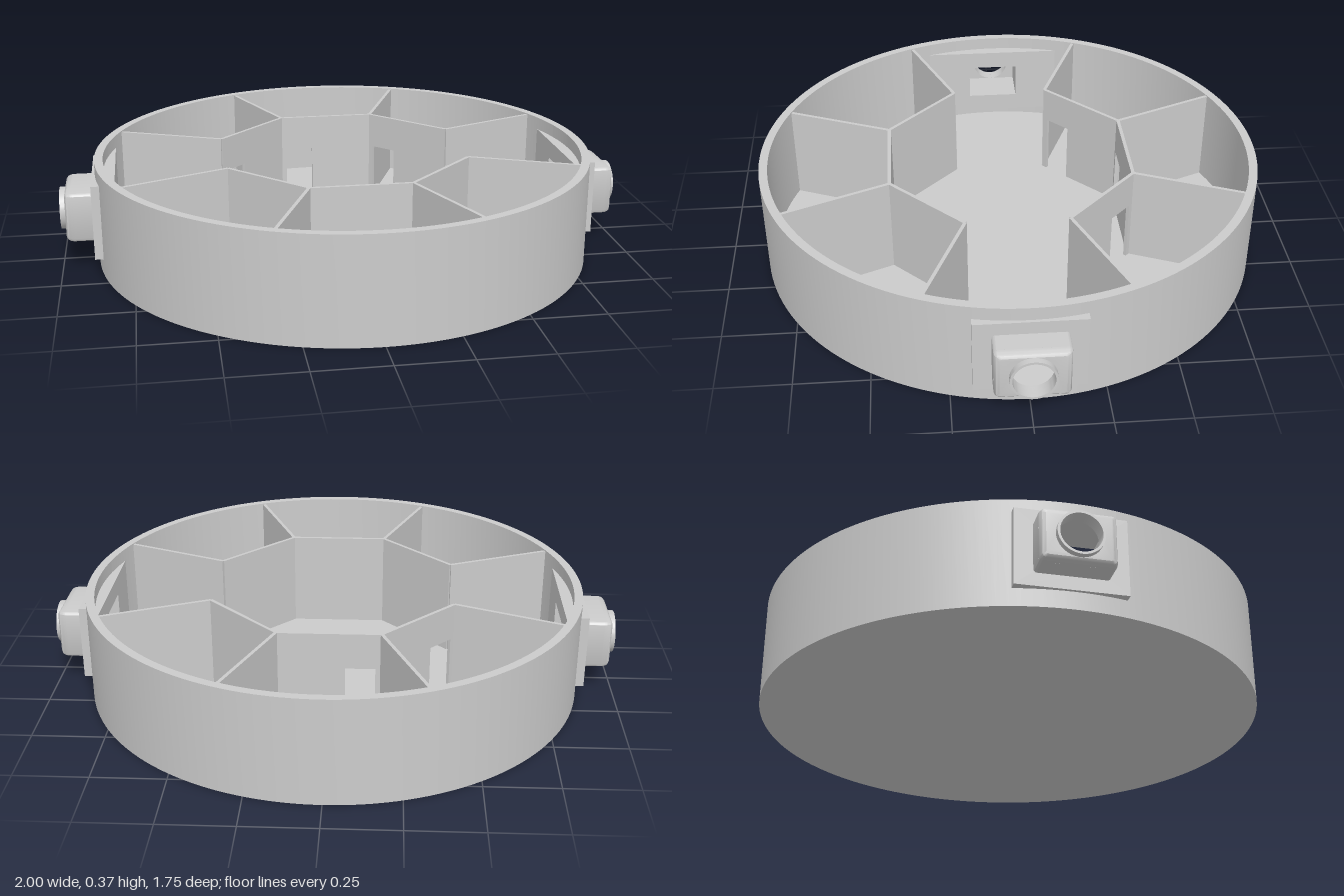
import * as THREE from 'three';
import { toCreasedNormals } from 'three/addons/utils/BufferGeometryUtils.js';

const R = 0.875, R_IN = 0.845, H = 0.37, FLOOR = 0.02;
const PORT_Y = 0.192, HOLE = 0.066;
const material = new THREE.MeshStandardMaterial({ color: 0xcccccc, side: THREE.DoubleSide });

function addMesh(parent, name, geometry) {
  const mesh = new THREE.Mesh(toCreasedNormals(geometry, 0.5), material);
  mesh.name = name;
  parent.add(mesh);
  return mesh;
}

function extrude(shape, depth, steps = 1) {
  return new THREE.ExtrudeGeometry(shape, { depth, steps, bevelEnabled: false, curveSegments: 24 });
}

// Plan outline (x, -z) raised between two heights
function raise(shape, y0, y1) {
  return extrude(shape, y1 - y0).rotateX(-Math.PI / 2).translate(0, y0, 0);
}

// Outline (z, y) around the port axis, extruded along x
function alongX(shape, x0, x1) {
  return extrude(shape, x1 - x0).rotateY(Math.PI / 2).translate(x0, PORT_Y, 0);
}

function ringSector(a0, a1) {
  const shape = new THREE.Shape();
  const n = Math.max(6, Math.ceil((a1 - a0) * 24));
  const pts = [];
  for (let i = 0; i <= n; i++) {
    const a = a0 + (a1 - a0) * i / n;
    pts.push(new THREE.Vector2(R * Math.cos(a), R * Math.sin(a)));
  }
  for (let i = n; i >= 0; i--) {
    const a = a0 + (a1 - a0) * i / n;
    pts.push(new THREE.Vector2(R_IN * Math.cos(a), R_IN * Math.sin(a)));
  }
  return shape.setFromPoints(pts);
}

function rect(hw, hh, r = 0, Type = THREE.Shape) {
  const s = new Type();
  s.moveTo(-hw + r, -hh).lineTo(hw - r, -hh);
  if (r) s.absarc(hw - r, -hh + r, r, -Math.PI / 2, 0);
  s.lineTo(hw, hh - r);
  if (r) s.absarc(hw - r, hh - r, r, 0, Math.PI / 2);
  s.lineTo(-hw + r, hh);
  if (r) s.absarc(-hw + r, hh - r, r, Math.PI / 2, Math.PI);
  s.lineTo(-hw, -hh + r);
  if (r) s.absarc(-hw + r, -hh + r, r, Math.PI, Math.PI * 1.5);
  return s;
}

function withHole(shape, hole) {
  shape.holes.push(hole);
  return shape;
}

const circle = (r, Type = THREE.Path) => new Type().absarc(0, 0, r, 0, Math.PI * 2);

// Upright divider from a to b in plan, optionally with a doorway near a
function addDivider(parent, name, a, b, doorway) {
  const length = a.distanceTo(b), t = 0.012, top = H - 0.004;
  const s = new THREE.Shape().moveTo(0, FLOOR - 0.005);
  if (doorway) s.lineTo(0.02, FLOOR - 0.005).lineTo(0.02, 0.24).lineTo(0.12, 0.24).lineTo(0.12, FLOOR - 0.005);
  s.lineTo(length, FLOOR - 0.005).lineTo(length, top).lineTo(0, top);
  const mesh = addMesh(parent, name, extrude(s, t).translate(0, 0, -t / 2));
  mesh.position.set(a.x, 0, a.y);
  mesh.rotation.y = Math.atan2(a.y - b.y, b.x - a.x);
}

function createPort() {
  const port = new THREE.Group();
  const cavity = () => rect(0.095, 0.066, 0, THREE.Path);

  // Flat mounting plate through the dish wall
  addMesh(port, 'portPlate', alongX(withHole(rect(0.18, 0.132), cavity()), 0.805, 0.885));

  // Wedges that continue the flat inner face to the curved wall
  for (const s of [1, -1]) {
    const wedge = new THREE.Shape().moveTo(0.805, s * 0.17).lineTo(0.805, s * 0.257);
    for (let z = 0.257; z > 0.169; z -= 0.0145) wedge.lineTo(Math.sqrt(0.855 ** 2 - z * z), s * z);
    addMesh(port, 'innerPadWedge', raise(wedge, PORT_Y - 0.132, PORT_Y + 0.132));
  }

  // Hollow housing: sleeve plus rounded cap
  addMesh(port, 'portSleeve', alongX(withHole(rect(0.12, 0.087, 0.012), cavity()), 0.86, 0.951));
  const cap = extrude(withHole(rect(0.12, 0.087, 0.012), circle(HOLE)), 0.03, 5);
  const p = cap.attributes.position;
  for (let i = 0; i < p.count; i++) {
    if (Math.hypot(p.getX(i), p.getY(i)) < 0.07) continue;
    const t = p.getZ(i) / 0.03;
    const f = 1 - 0.14 * (1 - Math.sqrt(Math.max(0, 1 - t * t)));
    p.setXY(i, p.getX(i) * f, p.getY(i) * f);
  }
  addMesh(port, 'portCap', cap.rotateY(Math.PI / 2).translate(0.95, PORT_Y, 0));

  // Round spout
  addMesh(port, 'portRing', alongX(withHole(circle(0.074, THREE.Shape), circle(HOLE)), 0.96, 1.0));
  return port;
}

export function createModel() {
  const model = new THREE.Group();
  model.name = 'compartmentDish';

  // Floor
  addMesh(model, 'floor', new THREE.CylinderGeometry(0.85, 0.85, FLOOR, 128).translate(0, FLOOR / 2, 0));

  // Outer wall, leaving a window at each port
  const gap = Math.asin(0.15 / 0.86);
  for (const start of [0, Math.PI]) {
    addMesh(model, 'outerWall', raise(ringSector(start + gap, start + Math.PI - gap), 0, H));
    const bridge = ringSector(start - gap, start + gap);
    addMesh(model, 'wallBelowPort', raise(bridge, 0, 0.1));
    addMesh(model, 'wallAbovePort', raise(bridge, 0.28, H));
  }

  // Octagonal inner dividers, open toward the ports, with doorways at the back
  const corner = (i, r) => {
    const a = (157.5 - 45 * i) * Math.PI / 180;
    return new THREE.Vector2(r * Math.cos(a), -r * Math.sin(a));
  };
  for (let i = 0; i < 8; i++) {
    addDivider(model, 'radialDivider', corner(i, 0.455), corner(i, 0.85), false);
    if (i % 4 !== 3) addDivider(model, 'innerDivider', corner(i, 0.455), corner(i + 1, 0.455), i < 3);
  }

  // Side ports
  const leftPort = createPort();
  leftPort.name = 'leftPort';
  const rightPort = createPort();
  rightPort.name = 'rightPort';
  rightPort.rotation.y = Math.PI;
  model.add(leftPort, rightPort);
  return model;
}
